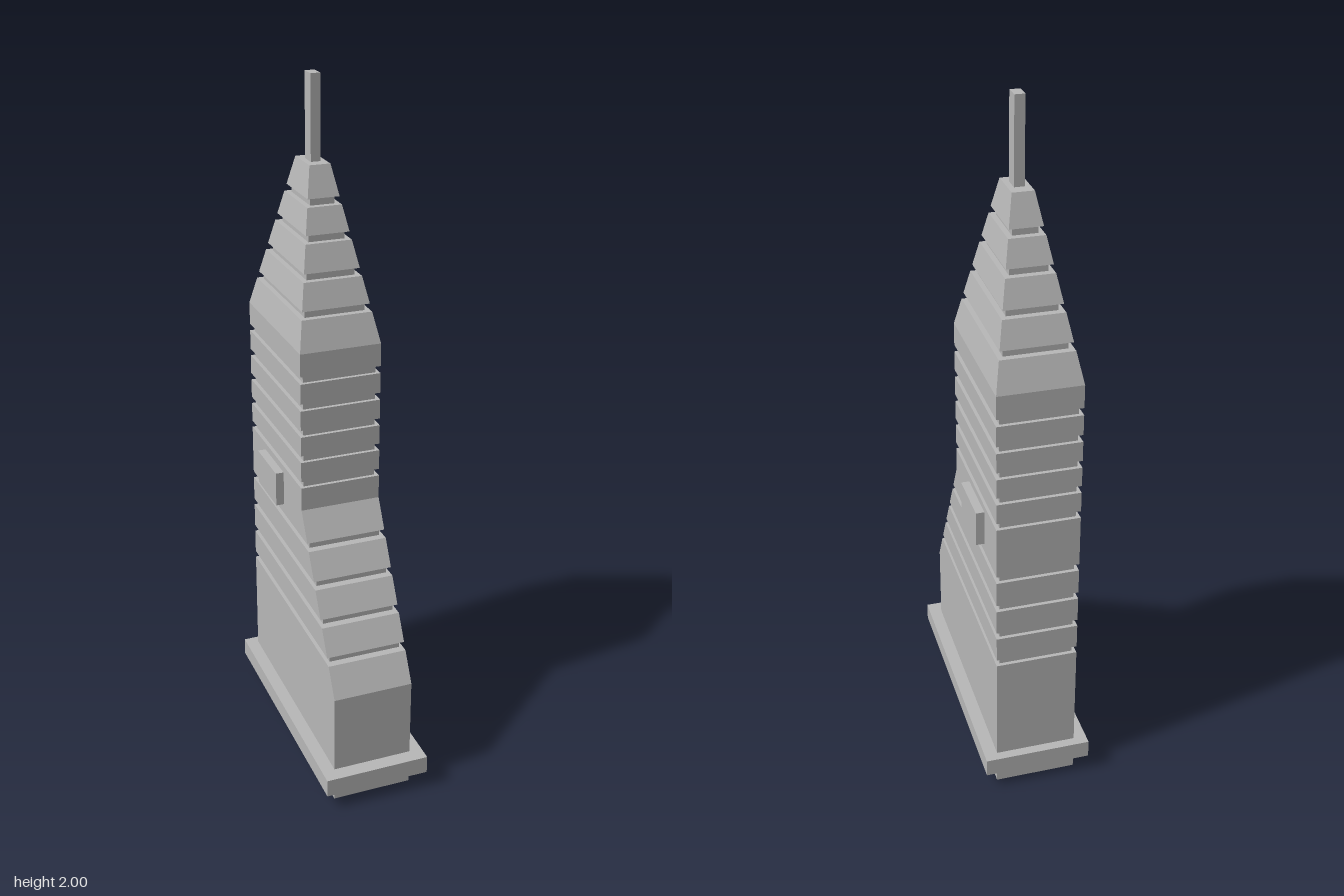
import * as THREE from 'three';

const stone = new THREE.MeshStandardMaterial({ color: 0xb8b8b8 });
stone.name = 'grey stone';

// Outline of the tower at key heights: [y, half width, back z, front z]
const PROFILE = [
  [0, 0.118, -0.363, 0.347],
  [0.345, 0.118, -0.363, 0.347],
  [0.82, 0.118, -0.363, 0.083],
  [1.295, 0.118, -0.363, 0.083],
  [1.765, 0.03, -0.19, -0.077],
];
// Bottom height of each groove running round the tower
const GROOVES = [0.43, 0.525, 0.62, 0.716, 0.89, 0.97, 1.048, 1.127, 1.207, 1.38, 1.474, 1.569, 1.66];
const GROOVE_HEIGHT = 0.021, GROOVE_DEPTH = 0.011;

function outlineAt(y) {
  let i = 0;
  while (i < PROFILE.length - 2 && y > PROFILE[i + 1][0]) i++;
  const a = PROFILE[i], b = PROFILE[i + 1], t = (y - a[0]) / (b[0] - a[0]);
  return a.map((v, k) => v + (b[k] - v) * t);
}

// Stacked rectangular rings, with a vertical-walled notch at each groove
function towerGeometry() {
  const sections = PROFILE.map((p) => [p]);
  for (const y of GROOVES) {
    const low = outlineAt(y), high = outlineAt(y + GROOVE_HEIGHT);
    const [, w, back, front] = high;
    const inner = [w - GROOVE_DEPTH, back + GROOVE_DEPTH, front - GROOVE_DEPTH];
    sections.push([low, [low[0], ...inner], [high[0], ...inner], high]);
  }
  sections.sort((a, b) => a[0][0] - b[0][0]);
  const rings = sections.flat().map(([y, w, back, front]) =>
    [[-w, y, front], [w, y, front], [w, y, back], [-w, y, back]]);

  const positions = [];
  const quad = (a, b, c, d) => positions.push(...a, ...b, ...c, ...a, ...c, ...d);
  for (let i = 0; i < rings.length - 1; i++) {
    const r = rings[i], s = rings[i + 1];
    for (let k = 0; k < 4; k++) {
      const n = (k + 1) % 4;
      quad(r[k], r[n], s[n], s[k]);
    }
  }
  const bottom = rings[0], top = rings[rings.length - 1];
  quad(bottom[3], bottom[2], bottom[1], bottom[0]);
  quad(top[0], top[1], top[2], top[3]);

  const geometry = new THREE.BufferGeometry();
  geometry.setAttribute('position', new THREE.Float32BufferAttribute(positions, 3));
  geometry.computeVertexNormals();
  return geometry;
}

// Box given by its low and high corners
function block(name, lo, hi) {
  const size = hi.map((v, i) => v - lo[i]);
  const mesh = new THREE.Mesh(new THREE.BoxGeometry(...size), stone);
  mesh.position.set(...hi.map((v, i) => (v + lo[i]) / 2));
  mesh.name = name;
  return mesh;
}

export function createModel() {
  const model = new THREE.Group();
  model.name = 'tower';

  const body = new THREE.Mesh(towerGeometry(), stone);
  body.name = 'groovedTowerBody';
  model.add(body);

  // Ledge round the foot and mast on the roof
  model.add(block('baseLedge', [-0.156, 0.052, -0.39], [0.156, 0.106, 0.39]));
  model.add(block('mast', [-0.014, 1.75, -0.155], [0.014, 2, -0.11]));

  // Raised panels on both flanks
  model.add(block('leftPanel', [0.1, 0.765, -0.237], [0.142, 0.869, -0.071]));
  model.add(block('rightPanel', [-0.142, 0.765, -0.237], [-0.1, 0.869, -0.071]));
  return model;
}
